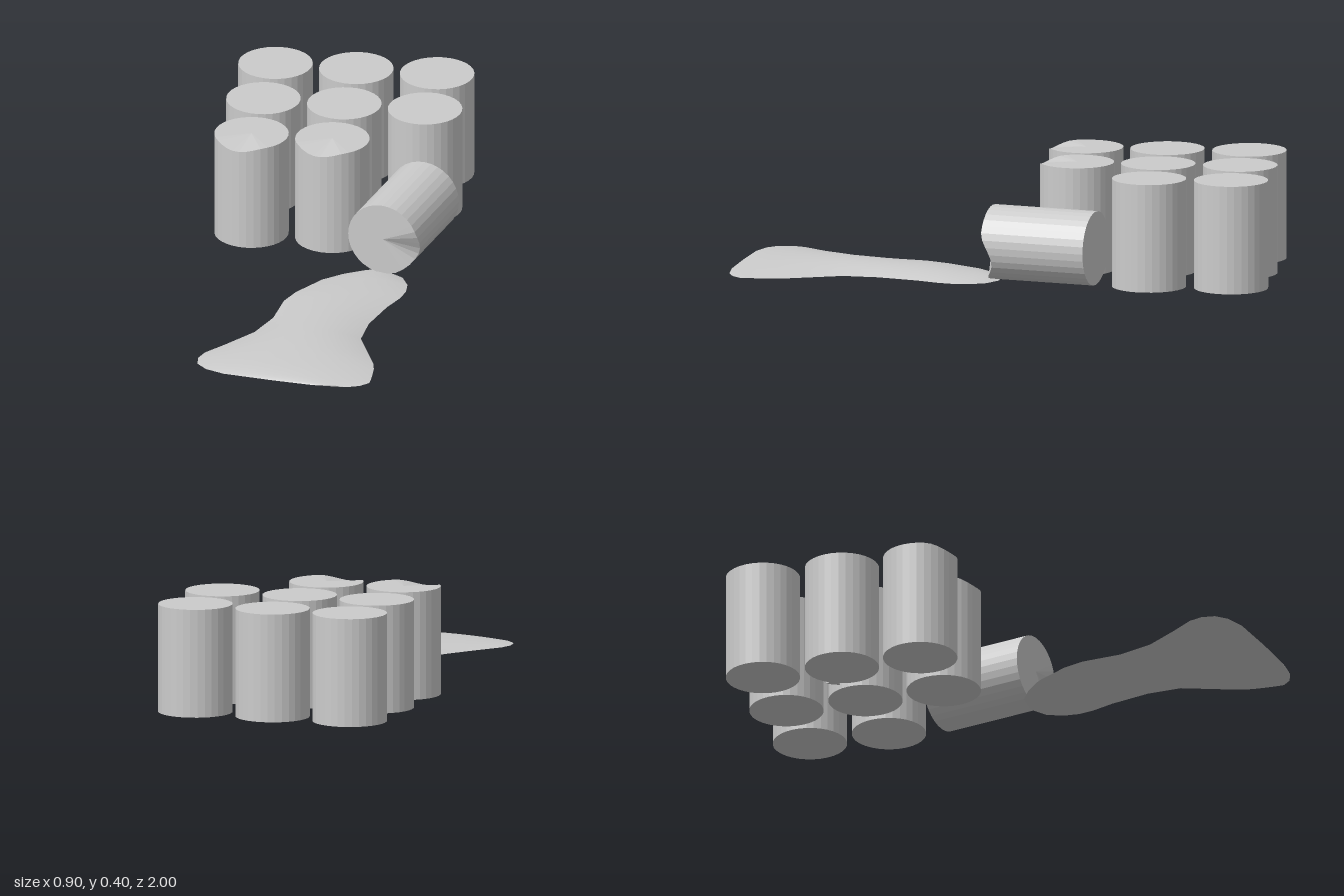
import * as THREE from 'three';
import { toCreasedNormals } from 'three/addons/utils/BufferGeometryUtils.js';

const RADIUS = 0.137;
const HEIGHT = 0.402;

// Closed cylinder whose rim can sag into a pouring lip at one angle
function makeCan(material, lipAngle = 0, lipDepth = 0) {
  const geometry = new THREE.CylinderGeometry(RADIUS, RADIUS, HEIGHT, 32);
  const pos = geometry.attributes.position;
  for (let i = 0; i < pos.count; i++) {
    const x = pos.getX(i), z = pos.getZ(i);
    if (pos.getY(i) < 0 || Math.hypot(x, z) < 0.01) continue;
    const turn = Math.atan2(x, z) - lipAngle;
    const t = Math.atan2(Math.sin(turn), Math.cos(turn)) / 0.87;
    if (Math.abs(t) < 1) pos.setY(i, pos.getY(i) - lipDepth * Math.cos(t * Math.PI / 2) ** 2);
  }
  return new THREE.Mesh(geometry, material);
}

// Low domed puddle, lofted through cross-sections [z, left x, right x, height]
function makePuddle(material) {
  const rows = [
    [0.0, 0.14, 0.23, 0.008], [0.04, 0.07, 0.29, 0.014], [0.1, 0.0, 0.317, 0.019],
    [0.16, -0.04, 0.32, 0.023], [0.22, -0.08, 0.305, 0.027], [0.3, -0.112, 0.27, 0.03],
    [0.45, -0.13, 0.225, 0.034], [0.58, -0.18, 0.215, 0.036], [0.7, -0.27, 0.26, 0.034],
    [0.78, -0.335, 0.29, 0.03], [0.83, -0.353, 0.3, 0.027], [0.88, -0.347, 0.302, 0.024],
    [0.92, -0.31, 0.302, 0.02], [0.95, -0.24, 0.3, 0.016], [0.98, -0.05, 0.27, 0.012],
    [0.998, 0.1, 0.22, 0.009],
  ];
  const steps = 12, ring = steps * 2;
  const points = [], index = [];
  for (const [z, left, right, height] of rows) {
    for (let j = 0; j < ring; j++) {
      const top = j <= steps;
      const t = -Math.cos(Math.PI * j / steps);
      const base = 0.002 + 0.003 * z;
      points.push((left + right) / 2 + t * (right - left) / 2,
        top ? base + (height - base) * (1 - t * t) : base, z);
    }
  }
  const last = (rows.length - 1) * ring;
  for (let r = 0; r < last; r += ring) {
    for (let j = 0; j < ring; j++) {
      const a = r + j, b = r + (j + 1) % ring;
      index.push(a, a + ring, b, b, a + ring, b + ring);
    }
  }
  for (let j = 1; j < ring - 1; j++) {
    index.push(0, j, j + 1, last, last + j + 1, last + j);
  }
  const geometry = new THREE.BufferGeometry();
  geometry.setAttribute('position', new THREE.Float32BufferAttribute(points, 3));
  geometry.setIndex(index);
  return new THREE.Mesh(toCreasedNormals(geometry, 0.5), material);
}

export function createModel() {
  const model = new THREE.Group();
  model.name = 'cansWithSpill';
  const canMaterial = new THREE.MeshStandardMaterial({ color: 0xcccccc, flatShading: true });
  const spillMaterial = new THREE.MeshStandardMaterial({ color: 0xcccccc });

  // Standing cans in a grid, the front right place left empty
  const columns = [-0.315, -0.015, 0.285];
  const ranks = [-0.863, -0.56, -0.26];
  ranks.forEach((z, r) => columns.forEach((x, c) => {
    if (r === 2 && c === 2) return;
    const can = makeCan(canMaterial, -0.3, r === 2 ? 0.016 : 0);
    can.name = 'standingCan';
    can.position.set(x, 0.004 + HEIGHT / 2, z);
    model.add(can);
  }));

  // Tipped can lying on its side
  const fallen = makeCan(canMaterial, 1.15, 0.04);
  fallen.name = 'fallenCan';
  fallen.rotation.set(Math.PI / 2, -0.245, 0, 'YXZ');
  fallen.position.set(0.2625, 0.145, -0.17);
  model.add(fallen);

  // Small sliver leaning against the middle left can
  const sliver = new THREE.Mesh(new THREE.ConeGeometry(0.03, 0.28, 3), canMaterial);
  sliver.name = 'sliver';
  sliver.position.set(-0.197, 0.144, -0.627);
  sliver.rotation.y = 1.0;
  model.add(sliver);

  // Spilled liquid
  const puddle = makePuddle(spillMaterial);
  puddle.name = 'puddle';
  model.add(puddle);

  return model;
}
